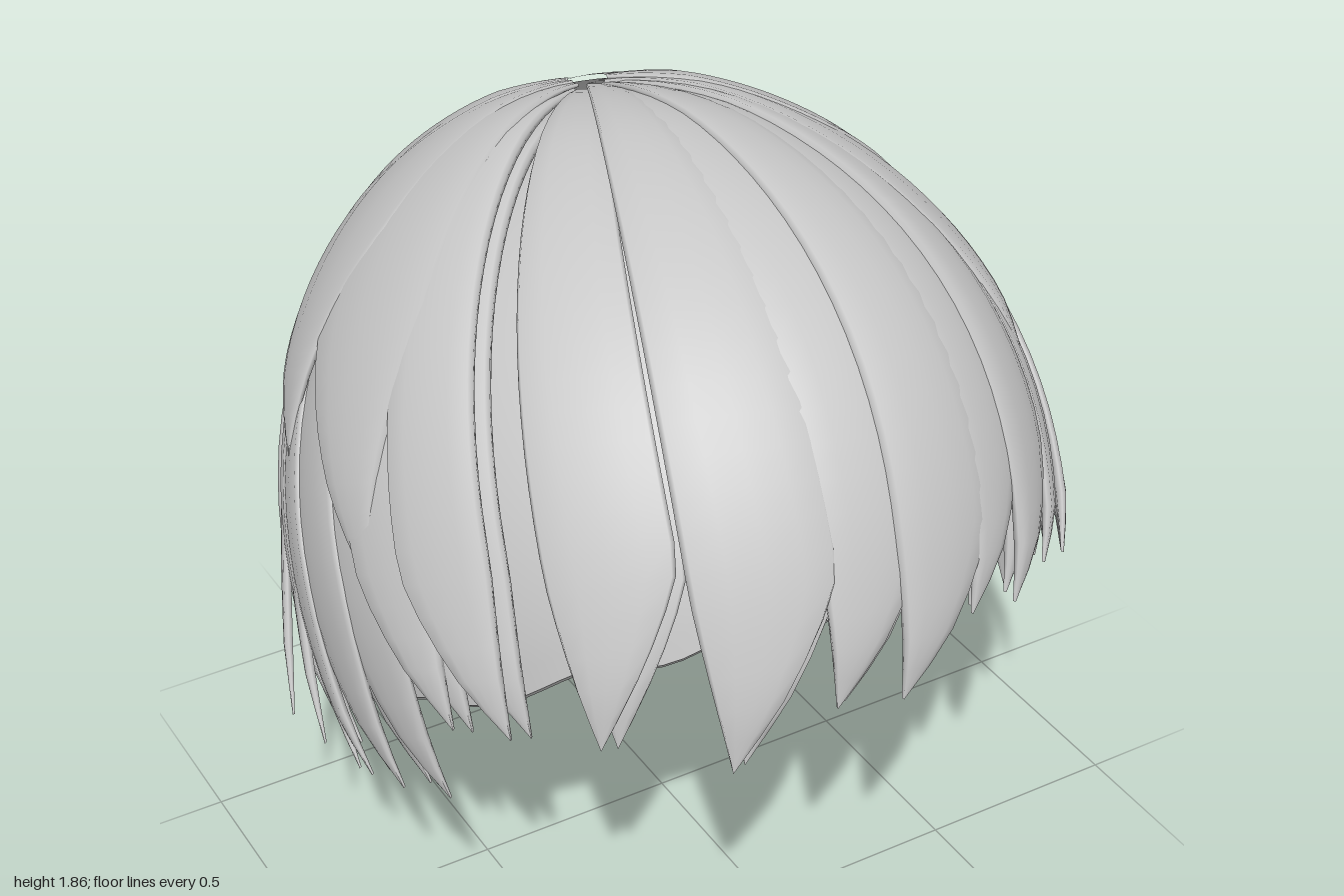
import * as THREE from 'three';
import { toCreasedNormals } from 'three/addons/utils/BufferGeometryUtils.js';

const RX = 0.885, RZ = 0.99, MID = 0.9, UP = 0.96, DOWN = 1.11;
const rad = THREE.MathUtils.degToRad;
const V = (x, y, z) => new THREE.Vector3(x, y, z);

// Small seeded random, -1 to 1
let seed = 7;
const rnd = () => {
  seed = (seed * 16807) % 2147483647;
  return (seed / 2147483647) * 2 - 1;
};

// Piecewise-linear lookup in [[key, value], ...]
function lookup(table, k) {
  for (let i = 1; i < table.length; i++) {
    const [k0, v0] = table[i - 1], [k1, v1] = table[i];
    if (k <= k1) return v0 + ((v1 - v0) * (k - k0)) / (k1 - k0);
  }
  return table[table.length - 1][1];
}

// Head shape: unit direction and scale to a point on the egg-like dome,
// slightly fuller above the brow and behind the crown
function onHead(d, s) {
  const f = d.y > 0 ? s * (1 + 0.13 * d.y * d.y * d.z * d.z) : s;
  return V(d.x * RX * f, MID + d.y * (d.y > 0 ? UP : DOWN) * f, d.z * RZ * f);
}

// Direction for an azimuth (0 = front, 90 = +x) and a height
function direction(deg, y, scale) {
  const c = THREE.MathUtils.clamp((y - MID) / (scale * (y > MID ? UP : DOWN)), -1, 1);
  const s = Math.sqrt(1 - c * c);
  return V(Math.sin(rad(deg)) * s, c, Math.cos(rad(deg)) * s);
}
const CROWN = V(0.1, 0.86, -0.5).normalize();

// Skin a list of closed rings
function skin(rings) {
  const n = rings[0].length, pos = [], idx = [];
  rings.forEach((r) => r.forEach((p) => pos.push(p.x, p.y, p.z)));
  for (let i = 0; i < rings.length - 1; i++) {
    for (let j = 0; j < n; j++) {
      const a = i * n + j, c = i * n + ((j + 1) % n);
      idx.push(a, a + n, c, a + n, c + n, c);
    }
  }
  const g = new THREE.BufferGeometry();
  g.setAttribute('position', new THREE.Float32BufferAttribute(pos, 3));
  g.setIndex(idx);
  g.computeVertexNormals();
  return g;
}

// Cross-section of a lock: [side position, share of thickness]
const SECTION = [
  [-1, 0.45], [-0.93, 0.82], [-0.5, 0.96], [0, 1], [0.5, 0.96], [0.93, 0.82], [1, 0.45],
  [0.97, 0], [0.4, 0], [-0.4, 0], [-0.97, 0],
];

// A pointed lock that follows the head from the crown to its tip
function lock(deg, y, width, o) {
  const { lift, thick = 0.03, lean = 0, tilt = 0, flare = 0, start = 0.04, taper = 0.8, root = 0.15 } = o;
  const tip = direction(deg, y, lift), angle = CROWN.angleTo(tip), steps = 26;
  const along = (t) => CROWN.clone().multiplyScalar(Math.sin((1 - t) * angle))
    .addScaledVector(tip, Math.sin(t * angle)).normalize();
  const axis = CROWN.clone().cross(tip).normalize();
  const rings = [];
  for (let i = 0; i <= steps; i++) {
    const u = i / steps, t = start + (1 - start) * u;
    const p = along(t);
    const end = t > taper ? 1 - Math.pow((t - taper) / (1 - taper), 1.25) : 1;
    const grow = Math.min(1, root + (1 - root) * Math.sin(Math.min(1, t / taper) * Math.PI / 2));
    const w = Math.max(width * grow * end, 0.0005);
    const h = thick * Math.min(1, 0.25 + end * 1.8) * Math.min(1, 0.4 + u * 3);
    rings.push(SECTION.map(([s, k]) => {
      const d = p.clone().addScaledVector(axis, w * (s - lean)).normalize();
      return onHead(d, lift + h * k + tilt * s * end + flare * Math.pow(t, 7));
    }));
  }
  return skin(rings);
}

// Inner cap: a thick shell whose stepped opening slopes from the brow to the nape
const RIM = [[0, 1.16], [25, 1.12], [45, 1.01], [62, 0.85], [78, 0.73], [90, 0.67], [105, 0.59], [123, 0.43], [135, 0.31], [160, 0.14], [180, 0.03]];
function capGeometry() {
  const profile = [];
  for (let i = 0; i <= 20; i++) profile.push([Math.max(i / 20, 0.002), 0.925, 0]);
  profile.push([1.012, 0.905, 0], [1.008, 0.88, 0], [0.992, 0.87, 0], [1.0, 0.83, 0], [0.998, 0.79, 0]);
  for (let i = 20; i >= 0; i--) profile.push([Math.max((i / 20) * 0.985, 0.002), 0.77, 0.016]);
  const shell = skin(profile.map(([v, s, fold]) => {
    const ring = [];
    for (let j = 0; j < 120; j++) {
      const a = j * 3, side = a > 180 ? 360 - a : a;
      const wave = 0.012 * Math.sin(rad(a * 14));
      const polar = Math.acos(direction(a, lookup(RIM, side) + wave, 0.925).y) * v;
      const d = V(Math.sin(rad(a)) * Math.sin(polar), Math.cos(polar), Math.cos(rad(a)) * Math.sin(polar));
      ring.push(onHead(d, s + fold * v * Math.abs(Math.sin(rad(a * 8)))));
    }
    return ring;
  }));
  return toCreasedNormals(shell, 0.6);
}

// Height of the hair ends by azimuth away from the front
const ENDS = [[60, 0.7], [66, 0.62], [76, 0.51], [90, 0.48], [112, 0.45], [135, 0.25], [152, 0.12], [180, 0.01]];

// Fringe tips: azimuth, height, half width
const FRINGE = [
  [-62, 0.84, 0.13], [-53, 0.88, 0.13], [-41, 0.9, 0.16], [-24, 0.87, 0.18], [-9, 0.97, 0.16], [1, 0.95, 0.17],
  [15, 1.06, 0.14], [25, 1.01, 0.14], [40, 0.96, 0.15], [52, 0.86, 0.13], [67, 0.66, 0.14],
];

// Broad leaves over the crown: azimuth, height, half width, lean, lift, where the tip starts
const LEAVES = [
  [142, 1.22, 0.27, -0.15, 1.0, 0.55], [-143, 1.2, 0.3, 0.15, 1.0, 0.5], [95, 1.38, 0.27, 0.1, 0.998, 0.6],
  [-106, 1.13, 0.27, 0.2, 0.995, 0.55], [-78, 1.06, 0.22, 0.1, 0.988, 0.6], [56, 1.32, 0.2, -0.2, 0.988, 0.65],
];

export function createModel() {
  const hair = new THREE.MeshStandardMaterial({ color: 0xc8c8c8 });
  hair.name = 'hairGrey';
  const model = new THREE.Group();
  model.name = 'wig';
  const part = (name) => {
    const g = new THREE.Group();
    g.name = name;
    model.add(g);
    return g;
  };
  const add = (group, name, geometry) => {
    const m = new THREE.Mesh(geometry, hair);
    m.name = name;
    group.add(m);
  };

  add(model, 'innerCap', capGeometry());

  // Long strands on the sides and back, in two shingled layers
  const strands = part('sideAndBackStrands');
  for (let layer = 0; layer < 2; layer++) {
    const count = 26;
    for (let i = 0; i < count; i++) {
      const a = 66 + (228 * (i + layer * 0.5)) / (count - 0.5) + rnd() * 1.2;
      const side = a > 180 ? 360 - a : a;
      const y = Math.max(0.005, lookup(ENDS, side) + rnd() * 0.03 + (1 - layer) * 0.03);
      const sign = a > 180 ? 1 : -1;
      add(strands, 'strand', lock(a, y, 0.135 + rnd() * 0.015, {
        lift: 0.942 + layer * 0.024 + rnd() * 0.004, tilt: sign * 0.01, lean: sign * 0.45, taper: 0.78,
        thick: 0.026, flare: 0.06 * Math.max(0, 1 - Math.abs(side - 80) / 45),
      }));
    }
  }

  // Fringe, doubled by a second layer beneath
  const fringe = part('fringe');
  FRINGE.forEach(([a, y, w], i) => {
    const lean = a < -50 ? 0.5 : -0.8;
    const flare = Math.abs(a) > 50 || (a < -20) ? 0.045 : 0.015;
    add(fringe, 'fringeLock', lock(a, y, w, { lift: 0.968 + (i % 2) * 0.01, lean, flare, tilt: -0.006 }));
    add(fringe, 'fringeUnderLock', lock(a + 2, y - 0.01, w * 0.95, { lift: 0.938, lean, flare }));
  });

  // Broad leaves around the crown
  const leaves = part('crownLeaves');
  LEAVES.forEach(([a, y, w, lean, lift, taper]) => {
    add(leaves, 'crownLeaf', lock(a, y, w, { lift, lean, taper, thick: 0.028, root: 0.1 }));
  });

  // Thin strands flicking outwards at both sides
  const flicks = part('sideFlicks');
  for (const s of [-1, 1]) {
    for (let i = 0; i < 4; i++) {
      add(flicks, 'flick', lock(s * (86 + i * 6), 0.5 + 0.03 * (i % 3), 0.05, {
        lift: 0.945, flare: 0.09 + 0.035 * (i % 3), lean: -s * 0.4, taper: 0.8, thick: 0.024,
      }));
    }
  }
  return model;
}
